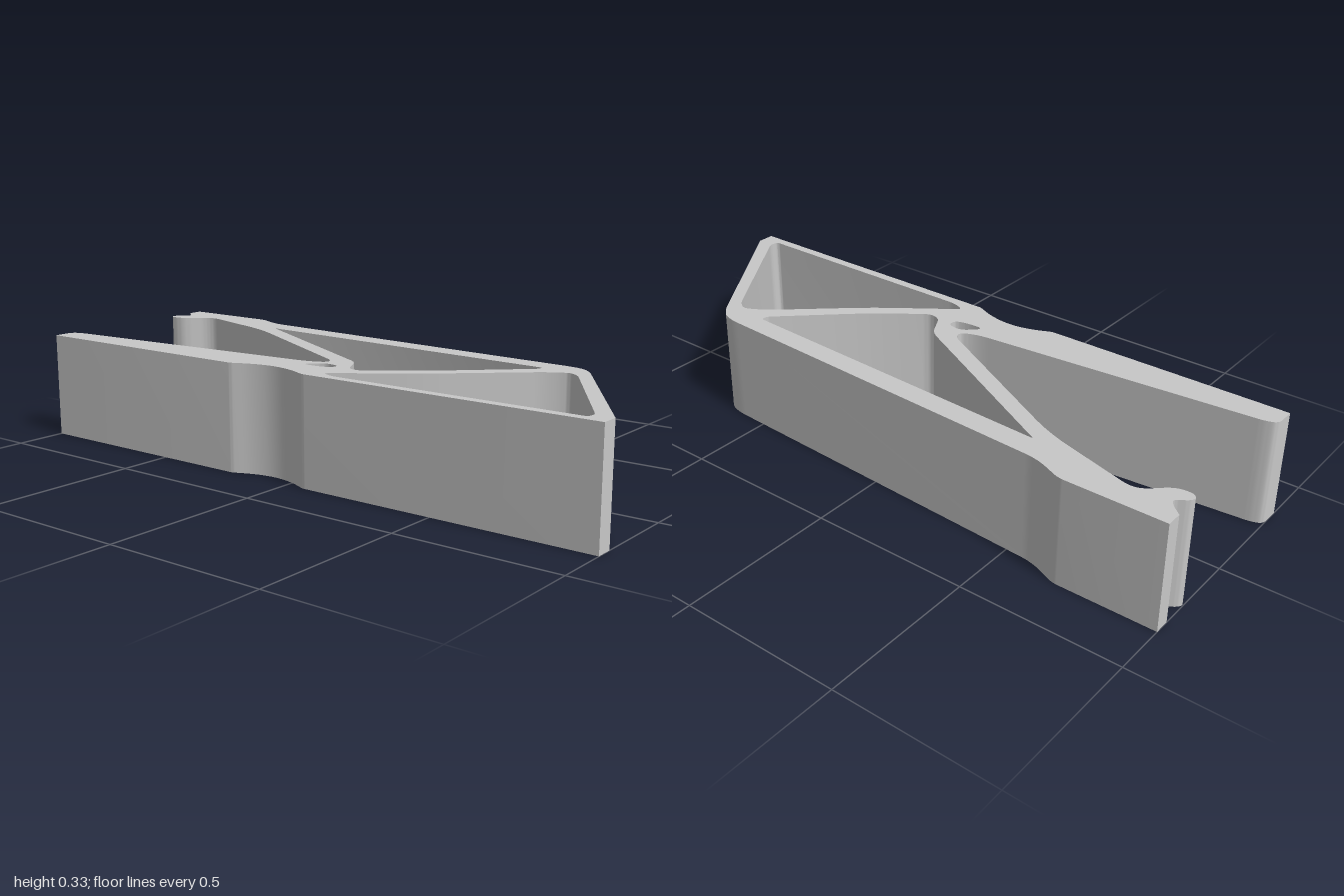
import * as THREE from 'three';
import { toCreasedNormals } from 'three/addons/utils/BufferGeometryUtils.js';

const HEIGHT = 0.334;

// Closed outline from [x, z, cornerCut]; corners with a cut are rounded
function roundedOutline(target, points) {
  const n = points.length;
  const pts = points.map(([x, z]) => new THREE.Vector2(x, -z));
  points.forEach(([, , cut = 0], i) => {
    const p = pts[i];
    const toward = (q) => {
      const d = q.clone().sub(p);
      return p.clone().addScaledVector(d, Math.min(cut / d.length(), 0.49));
    };
    const a = toward(pts[(i + n - 1) % n]);
    const b = toward(pts[(i + 1) % n]);
    if (i === 0) target.moveTo(a.x, a.y);
    else target.lineTo(a.x, a.y);
    if (cut > 0) target.quadraticCurveTo(p.x, p.y, b.x, b.y);
  });
  target.closePath();
  return target;
}

export function createModel() {
  const model = new THREE.Group();
  model.name = 'trussClip';
  const grey = new THREE.MeshStandardMaterial({ color: 0xc8c8c8 });
  grey.name = 'grey';

  // Outer profile: hooked upper arm, sloped nose, base, lower arm, open jaw
  const shape = roundedOutline(new THREE.Shape(), [
    [-1, -0.333], [-0.68, -0.333, 0.02], [-0.59, -0.294, 0.04],
    [0.645, -0.226, 0.06], [0.69, -0.182, 0.02],
    [1, 0.278], [1, 0.333],
    // finger recess in the base
    [0.06, 0.333, 0.01], [-0.005, 0.304, 0.04], [-0.08, 0.292, 0.04],
    [-0.15, 0.304, 0.04], [-0.215, 0.333, 0.01],
    // lower jaw arm
    [-1, 0.333], [-1, 0.265, 0.02], [-0.965, 0.252, 0.02],
    [-0.05, 0.174, 0.04], [0.005, 0.15, 0.025], [-0.005, 0.12, 0.02],
    // diagonal strut and upper jaw arm
    [-0.54, -0.167, 0.08], [-0.84, -0.252, 0.03], [-0.875, -0.241, 0.02],
    // hook at the tip
    [-0.935, -0.184, 0.03], [-0.985, -0.181, 0.015], [-1, -0.198, 0.01],
    [-0.99, -0.215, 0.01], [-0.955, -0.237, 0.015], [-0.968, -0.258, 0.01],
    [-1, -0.285],
  ]);

  // Openings run the opposite way round, so their walls face inward
  const openings = [
    // long upper triangle
    [[0.07, 0.1, 0.03], [0.115, 0.187, 0.02], [0.155, 0.196, 0.025],
      [0.31, 0.08, 0.08], [0.545, -0.14, 0.01], [0.55, -0.163, 0.015],
      [-0.525, -0.217, 0.01]],
    // lower right triangle
    [[0.585, -0.11, 0.03], [0.33, 0.117, 0.08], [0.1, 0.285, 0.015],
      [0.14, 0.304, 0.03], [0.94, 0.304, 0.012], [0.945, 0.275, 0.02],
      [0.685, -0.12, 0.02], [0.65, -0.145, 0.02]],
    // small slot at the joint
    [[-0.022, 0.218, 0.01], [0.03, 0.215, 0.015], [0.064, 0.205, 0.015],
      [0.067, 0.175, 0.02], [0.015, 0.165, 0.025], [-0.03, 0.208, 0.012]],
  ];
  for (const o of openings) shape.holes.push(roundedOutline(new THREE.Path(), o));

  const body = new THREE.ExtrudeGeometry(shape, {
    depth: HEIGHT, bevelEnabled: false, curveSegments: 6,
  });
  body.rotateX(-Math.PI / 2);

  const mesh = new THREE.Mesh(toCreasedNormals(body, 0.5), grey);
  mesh.name = 'clipFrame';
  model.add(mesh);
  return model;
}
